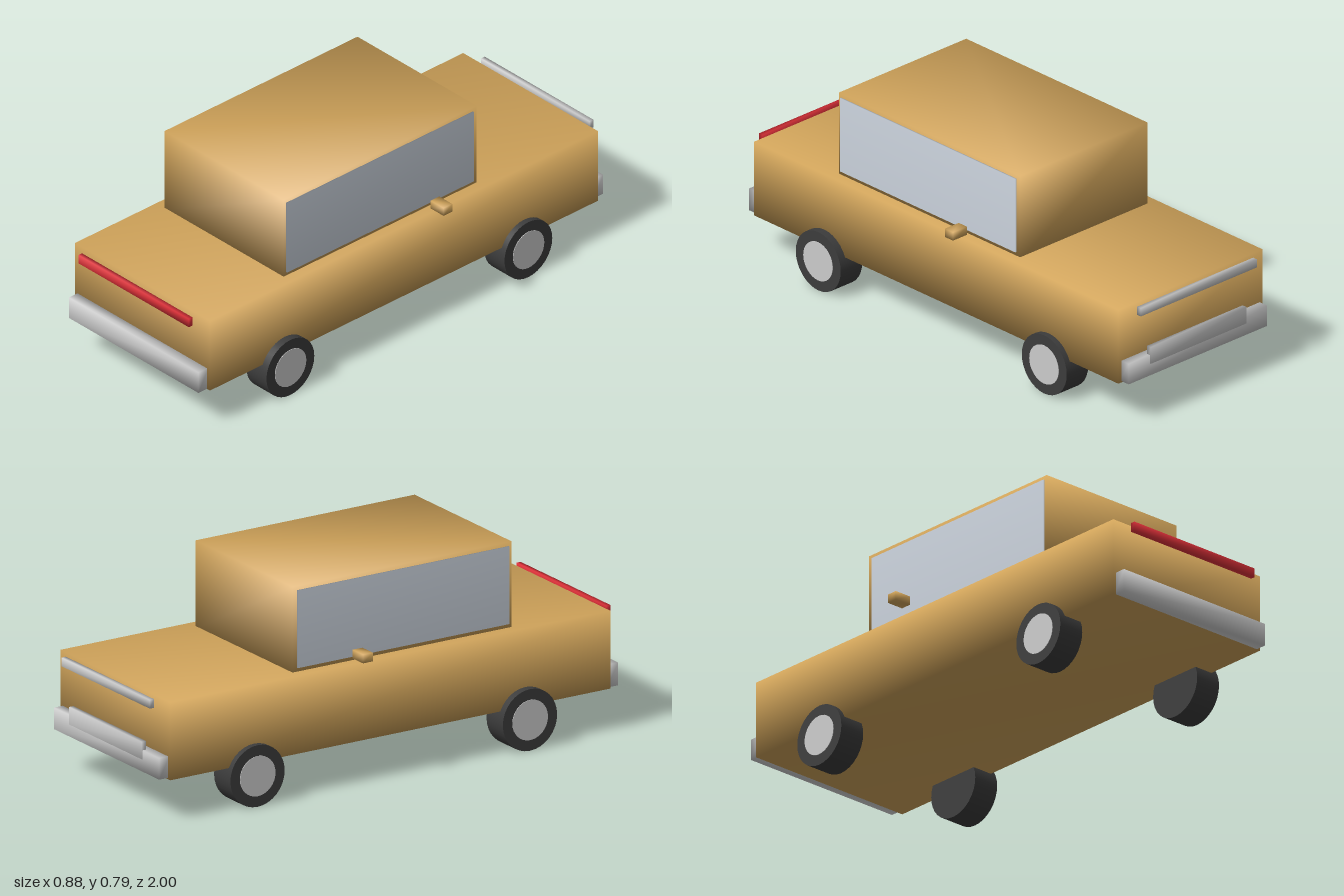
import * as THREE from 'three';
import { mergeVertices } from 'three/addons/utils/BufferGeometryUtils.js';

const material = (color) => new THREE.MeshStandardMaterial({ color });
const paint = material(0xd2a55b);
const grey = material(0xcccccc);
const glass = material(0xccd4de);
const rubber = material(0x3c3c3c);
const red = material(0xdc3038);

// Box between two limits per axis, with normals shared across its edges
function softBox(name, mat, [x0, x1], [y0, y1], [z0, z1]) {
  let geo = new THREE.BoxGeometry(x1 - x0, y1 - y0, z1 - z0);
  geo.deleteAttribute('normal');
  geo.deleteAttribute('uv');
  geo = mergeVertices(geo);
  geo.computeVertexNormals();
  geo.translate((x0 + x1) / 2, (y0 + y1) / 2, (z0 + z1) / 2);
  const mesh = new THREE.Mesh(geo, mat);
  mesh.name = name;
  return mesh;
}

// Disc lying along x between two x positions
function disc(name, mat, radius, x0, x1) {
  const geo = new THREE.CylinderGeometry(radius, radius, x1 - x0, 32);
  geo.rotateZ(Math.PI / 2).translate((x0 + x1) / 2, 0, 0);
  const mesh = new THREE.Mesh(geo, mat);
  mesh.name = name;
  return mesh;
}

// Wheel with its outer face towards +x
function createWheel(name) {
  const wheel = new THREE.Group();
  wheel.name = name;
  wheel.add(
    disc('tyre', rubber, 0.118, -0.054, 0.054),
    disc('hubcap', grey, 0.077, 0, 0.056),
  );
  return wheel;
}

export function createModel() {
  const car = new THREE.Group();
  car.name = 'car';

  // Body and cabin
  car.add(
    softBox('body', paint, [-0.362, 0.362], [0.162, 0.46], [-0.957, 0.957]),
    softBox('cabin', paint, [-0.32, 0.32], [0.45, 0.788], [-0.397, 0.555]),
  );

  // Front and rear trim
  car.add(
    softBox('frontBumper', grey, [-0.349, 0.347], [0.163, 0.25], [0.95, 1]),
    softBox('frontLightBar', red, [-0.298, 0.296], [0.421, 0.456], [0.982, 1]),
    softBox('rearBumper', grey, [-0.349, 0.347], [0.168, 0.25], [-0.996, -0.95]),
    softBox('rearLightBar', grey, [-0.293, 0.29], [0.425, 0.458], [-1, -0.981]),
    softBox('rearPlate', grey, [-0.24, 0.24], [0.216, 0.283], [-1, -0.981]),
  );

  // Side windows, mirrors and wheels
  for (const side of [1, -1]) {
    const label = side > 0 ? 'left' : 'right';
    const span = (a, b) => (side > 0 ? [a, b] : [-b, -a]);
    car.add(
      softBox(label + 'Window', glass, span(0.316, 0.326), [0.475, 0.772], [-0.378, 0.543]),
      softBox(label + 'Mirror', paint, span(0.368, 0.438), [0.486, 0.519], [-0.168, -0.125]),
    );
    for (const [end, z, x] of [['Front', 0.588, 0.338], ['Rear', -0.592, 0.331]]) {
      const wheel = createWheel(label + end + 'Wheel');
      wheel.position.set(side * x, 0.118, z);
      if (side < 0) wheel.rotation.y = Math.PI;
      car.add(wheel);
    }
  }
  return car;
}
